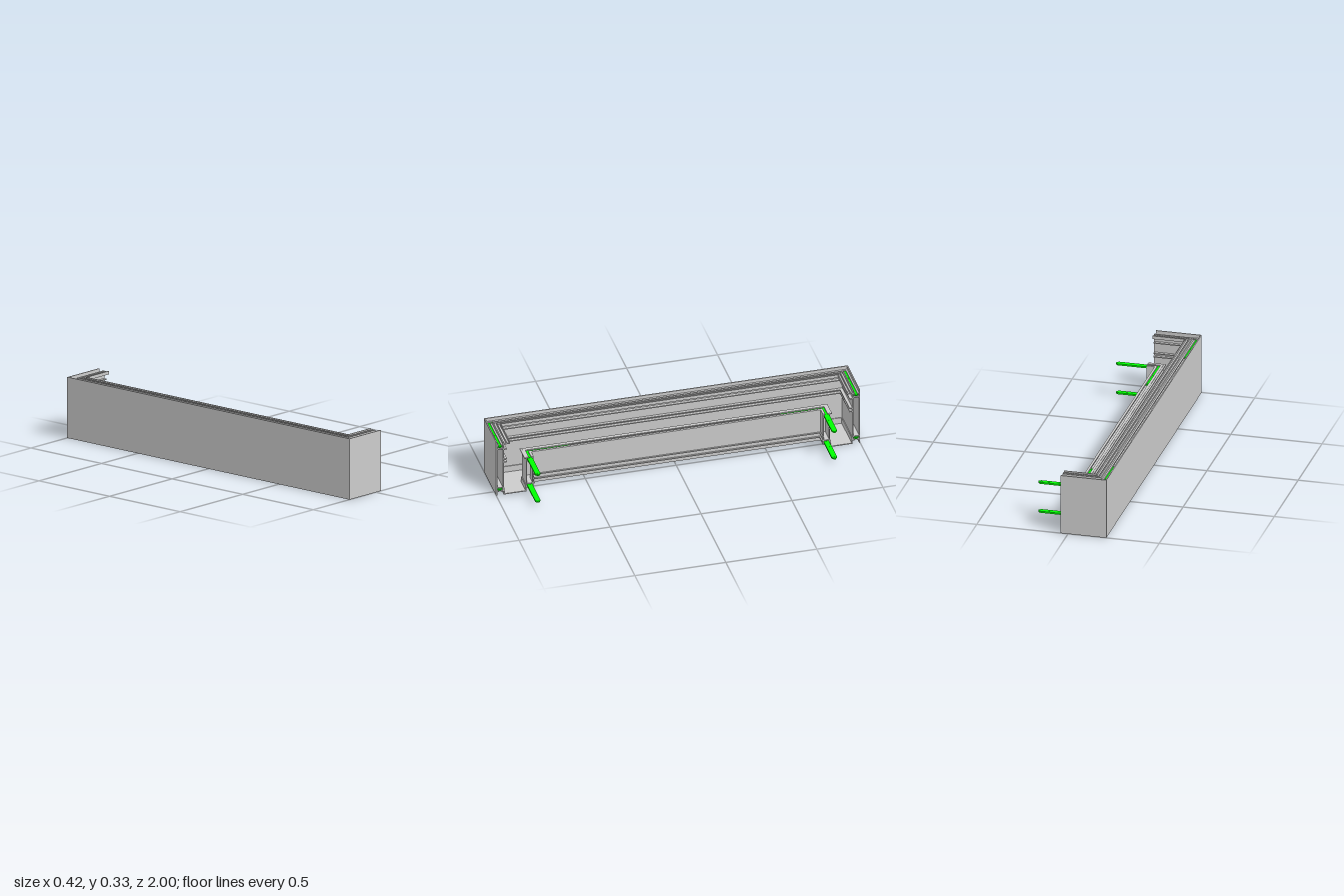
import * as THREE from 'three';

const BACK = -0.21, END = 0.04;
const grey = new THREE.MeshStandardMaterial({ color: 0xcccccc });
const green = new THREE.MeshStandardMaterial({ color: 0x00ff00 });

// Extrude a plan outline (x, z) upwards from y0 to y1
function plate(points, y0, y1, material) {
  const shape = new THREE.Shape(points.map(([x, z]) => new THREE.Vector2(x, -z)));
  const geometry = new THREE.ExtrudeGeometry(shape, { depth: y1 - y0, bevelEnabled: false });
  geometry.rotateX(-Math.PI / 2).translate(0, y0, 0);
  return new THREE.Mesh(geometry, material);
}

// U-shaped mitred strip lying between distances d0 and d1 from the outer face
function channel(d0, d1, y0, y1) {
  return plate([
    [END, 1 - d0], [BACK + d0, 1 - d0], [BACK + d0, -1 + d0], [END, -1 + d0],
    [END, -1 + d1], [BACK + d1, -1 + d1], [BACK + d1, 1 - d1], [END, 1 - d1],
  ], y0, y1, grey);
}

// L-shaped splice plate with screws; side is +1 or -1 along z
function splice(d0, d1, y0, y1, xEnd, zEnd, side) {
  const group = new THREE.Group();
  const zo = 1 - d0, zi = 1 - d1, xo = BACK + d0, xi = BACK + d1;
  const c = (d1 - d0) * 0.35, tip = 0.012;
  const outline = [
    [xo, zEnd], [xo, zo], [xEnd - tip, zo], [xEnd, zo - c],
    [xEnd, zi + c], [xEnd - tip, zi], [xi, zi], [xi, zEnd],
  ];
  group.add(plate(outline.map(([x, z]) => [x, z * side]), y0, y1, green));
  const screw = (x, z) => {
    const mesh = new THREE.Mesh(new THREE.CylinderGeometry(0.004, 0.004, y1 - y0 + 0.001, 10), green);
    mesh.position.set(x, (y0 + y1) / 2, z * side);
    mesh.name = 'spliceScrew';
    group.add(mesh);
  };
  const xm = (xo + xi) / 2, zm = (zo + zi) / 2;
  for (const t of [0.25, 0.5, 0.75, 0.93]) {
    screw(xm, zm + (zEnd - zm) * t);
    screw(xm + (xEnd - xm) * t, zm);
  }
  return group;
}

// Profile rectangles: [d0, d1, y0, y1]
const profiles = {
  outerSkin: [[0, 0.006, 0, 0.333]],
  outerFrame: [
    [0.036, 0.042, 0.02, 0.328],   // web
    [0.006, 0.036, 0.285, 0.291],  // upper slot with two lips
    [0.006, 0.015, 0.308, 0.314],
    [0.027, 0.036, 0.308, 0.314],
    [0.006, 0.036, 0.042, 0.048],  // lower slot with two lips
    [0.006, 0.015, 0.02, 0.026],
    [0.027, 0.036, 0.02, 0.026],
    [0.042, 0.075, 0.313, 0.319],  // top ledge with two lips
    [0.053, 0.058, 0.319, 0.328],
    [0.07, 0.075, 0.319, 0.331],
    [0.042, 0.058, 0.28, 0.286],   // upper ledge
    [0.042, 0.058, 0.2, 0.206],    // middle groove
    [0.042, 0.058, 0.219, 0.225],
  ],
  floorTray: [
    [0.042, 0.165, 0, 0.005],
    [0.042, 0.046, 0.005, 0.04],
    [0.161, 0.165, 0.005, 0.04],
  ],
  innerFrame: [
    [0.165, 0.17, 0.022, 0.213],   // back web
    [0.2, 0.205, 0.022, 0.213],    // front web
    [0.155, 0.165, 0.205, 0.211],  // outer ledge
    [0.17, 0.2, 0.186, 0.192],     // upper slot and lips
    [0.17, 0.179, 0.207, 0.213],
    [0.192, 0.2, 0.207, 0.213],
    [0.17, 0.2, 0.043, 0.049],     // lower slot and lips
    [0.17, 0.181, 0.022, 0.027],
    [0.19, 0.2, 0.022, 0.027],
    [0.205, 0.212, 0.043, 0.049],  // front groove
    [0.205, 0.212, 0.07, 0.075],
  ],
};

export function createModel() {
  const model = new THREE.Group();
  model.name = 'channelHousing';

  for (const [name, rects] of Object.entries(profiles)) {
    const part = new THREE.Group();
    part.name = name;
    for (const r of rects) part.add(channel(...r));
    model.add(part);
  }

  // Corner connectors at top and bottom of both frames, mirrored front to back
  for (const side of [1, -1]) {
    for (const y of [0.297, 0.029]) {
      const outer = splice(0.008, 0.034, y, y + 0.008, 0.043, 0.75, side);
      outer.name = 'outerSplice';
      model.add(outer);
    }
    for (const y of [0.196, 0.029]) {
      const inner = splice(0.1705, 0.1995, y, y + 0.009, 0.21, 0.58, side);
      inner.name = 'innerSplice';
      model.add(inner);
    }
  }
  return model;
}
